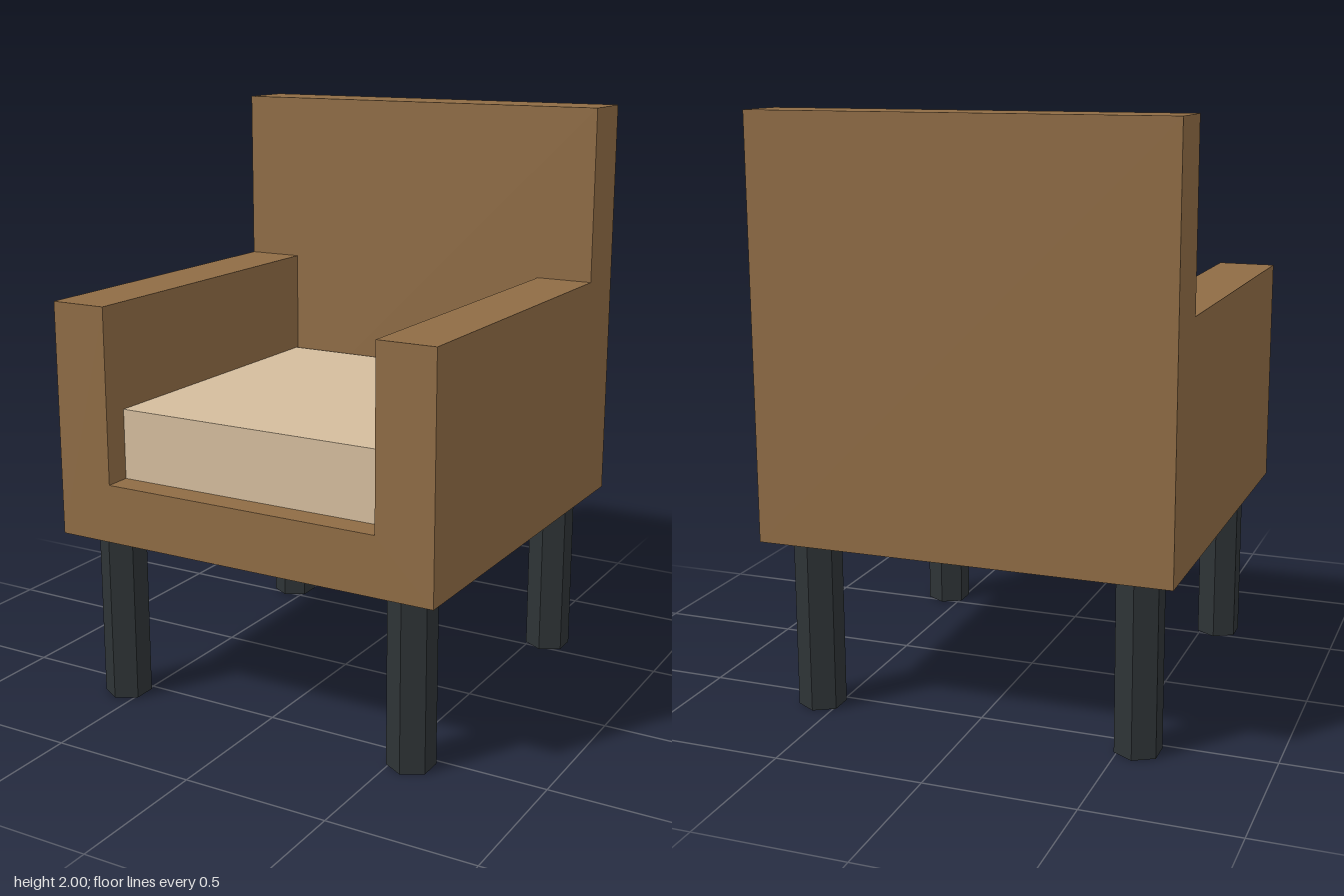
import * as THREE from 'three';

export function createModel() {
  const chair = new THREE.Group();
  chair.name = 'armchair';

  const wood = new THREE.MeshStandardMaterial({ color: 0x8f6c45 });
  const fabric = new THREE.MeshStandardMaterial({ color: 0xd4bd9d });
  const dark = new THREE.MeshStandardMaterial({ color: 0x2e3336, flatShading: true });

  const add = (name, geometry, material, x, y, z) => {
    const mesh = new THREE.Mesh(geometry, material);
    mesh.name = name;
    mesh.position.set(x, y, z);
    chair.add(mesh);
  };

  // Seat base and both arms: one U-shaped section running front to back
  const section = new THREE.Shape([
    [-0.7, 0.6], [0.7, 0.6], [0.7, 1.4], [0.5, 1.4],
    [0.5, 0.8], [-0.5, 0.8], [-0.5, 1.4], [-0.7, 1.4],
  ].map(([x, y]) => new THREE.Vector2(x, y)));
  add('seatAndArms', new THREE.ExtrudeGeometry(section, { depth: 1.2, bevelEnabled: false }), wood, 0, 0, -0.5);

  // Tall backrest
  add('backrest', new THREE.BoxGeometry(1.4, 1.4, 0.2), wood, 0, 1.3, -0.6);

  // Cushion between the arms, set back from the front edge
  add('cushion', new THREE.BoxGeometry(1, 0.24, 1.1), fabric, 0, 0.92, 0.06);

  // Four hexagonal legs
  const leg = new THREE.CylinderGeometry(0.08, 0.08, 0.6, 6);
  for (const [zName, z] of [['front', 0.56], ['back', -0.56]]) {
    for (const [xName, x] of [['Left', 0.56], ['Right', -0.56]]) {
      add(`${zName}${xName}Leg`, leg, dark, x, 0.3, z);
    }
  }

  return chair;
}
